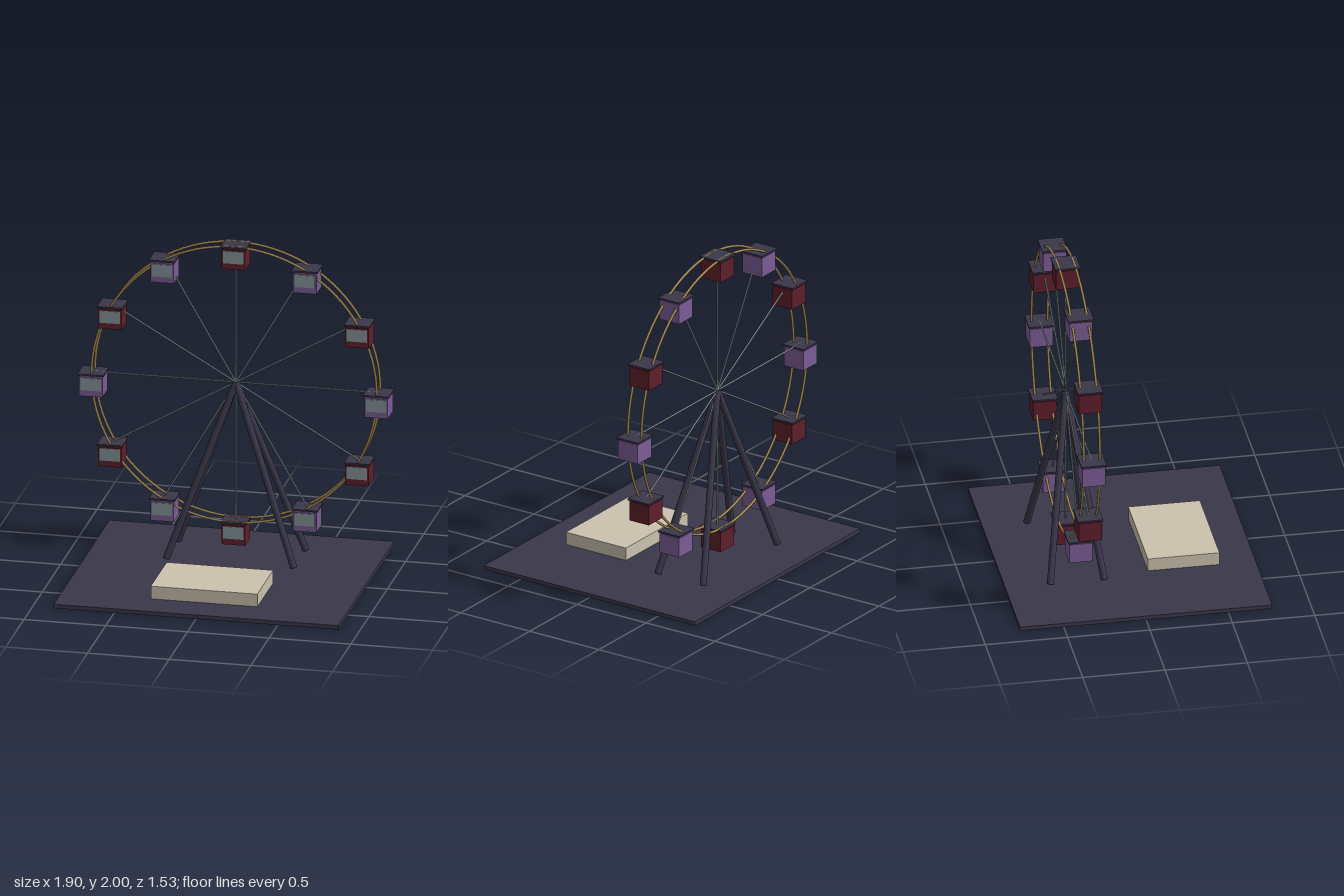
import * as THREE from 'three';

const material = (name, color) => {
  const m = new THREE.MeshStandardMaterial({ color });
  m.name = name;
  return m;
};

export function createModel() {
  const dark = material('dark slate', 0x3a374a);
  const red = material('maroon', 0x5e1f2b);
  const purple = material('purple', 0x7b5d96);
  const gold = material('gold', 0xa08550);
  const glass = material('grey glass', 0x86969a);
  const beige = material('beige', 0xcbc2ae);

  const model = new THREE.Group();
  model.name = 'ferrisWheel';

  const add = (parent, name, geometry, mat, x = 0, y = 0, z = 0) => {
    const mesh = new THREE.Mesh(geometry, mat);
    mesh.name = name;
    mesh.position.set(x, y, z);
    parent.add(mesh);
    return mesh;
  };

  // Round bar between two points
  const bar = (parent, name, a, b, radius, sides, mat) => {
    const dir = b.clone().sub(a);
    const mid = a.clone().add(b).multiplyScalar(0.5);
    const mesh = add(parent, name, new THREE.CylinderGeometry(radius, radius, dir.length(), sides), mat, mid.x, mid.y, mid.z);
    mesh.quaternion.setFromUnitVectors(new THREE.Vector3(0, 1, 0), dir.normalize());
  };

  // Ground plate and boarding platform
  add(model, 'basePlate', new THREE.BoxGeometry(1.742, 0.025, 1.53), dark, 0, 0.0125, 0);
  add(model, 'platform', new THREE.BoxGeometry(0.652, 0.08, 0.435), beige, 0, 0.065, 0.327);

  const hub = new THREE.Vector3(0, 1.12, -0.33);
  const R = 0.873;

  // Four splayed legs meeting at the axle
  for (const sx of [-1, 1]) {
    for (const sz of [-1, 1]) {
      bar(model, 'supportLeg', new THREE.Vector3(sx * 0.39, 0.03, hub.z + sz * 0.164), hub, 0.021, 16, dark);
    }
  }

  // Twin rims
  const wheel = new THREE.Group();
  wheel.name = 'wheel';
  wheel.position.copy(hub);
  model.add(wheel);
  const rim = new THREE.TorusGeometry(R, 0.008, 8, 96);
  for (const z of [-0.049, 0.049]) add(wheel, 'rim', rim, gold, 0, 0, z);

  // Spokes and upright cabins, alternating in colour
  const body = new THREE.BoxGeometry(0.143, 0.123, 0.141);
  const roof = new THREE.BoxGeometry(0.158, 0.01, 0.154);
  const pane = new THREE.BoxGeometry(0.124, 0.077, 0.004);
  for (let i = 0; i < 12; i++) {
    const a = (i * Math.PI) / 6;
    const tip = new THREE.Vector3(Math.cos(a) * R, Math.sin(a) * R, 0);
    bar(wheel, 'spoke', new THREE.Vector3(), tip, 0.0055, 8, glass);

    const cabin = new THREE.Group();
    cabin.name = 'cabin';
    cabin.position.copy(tip);
    wheel.add(cabin);
    add(cabin, 'cabinBody', body, i % 2 ? red : purple, 0, -0.0745, 0);
    add(cabin, 'cabinRoof', roof, dark);
    add(cabin, 'cabinWindow', pane, glass, 0, -0.06, 0.0715);
  }
  // Quarter positions: swap so top and bottom cabins are maroon, sides purple
  wheel.children.filter((c) => c.name === 'cabin').forEach((c, i) => {
    c.children[0].material = i % 2 ? red : purple;
  });
  return model;
}
